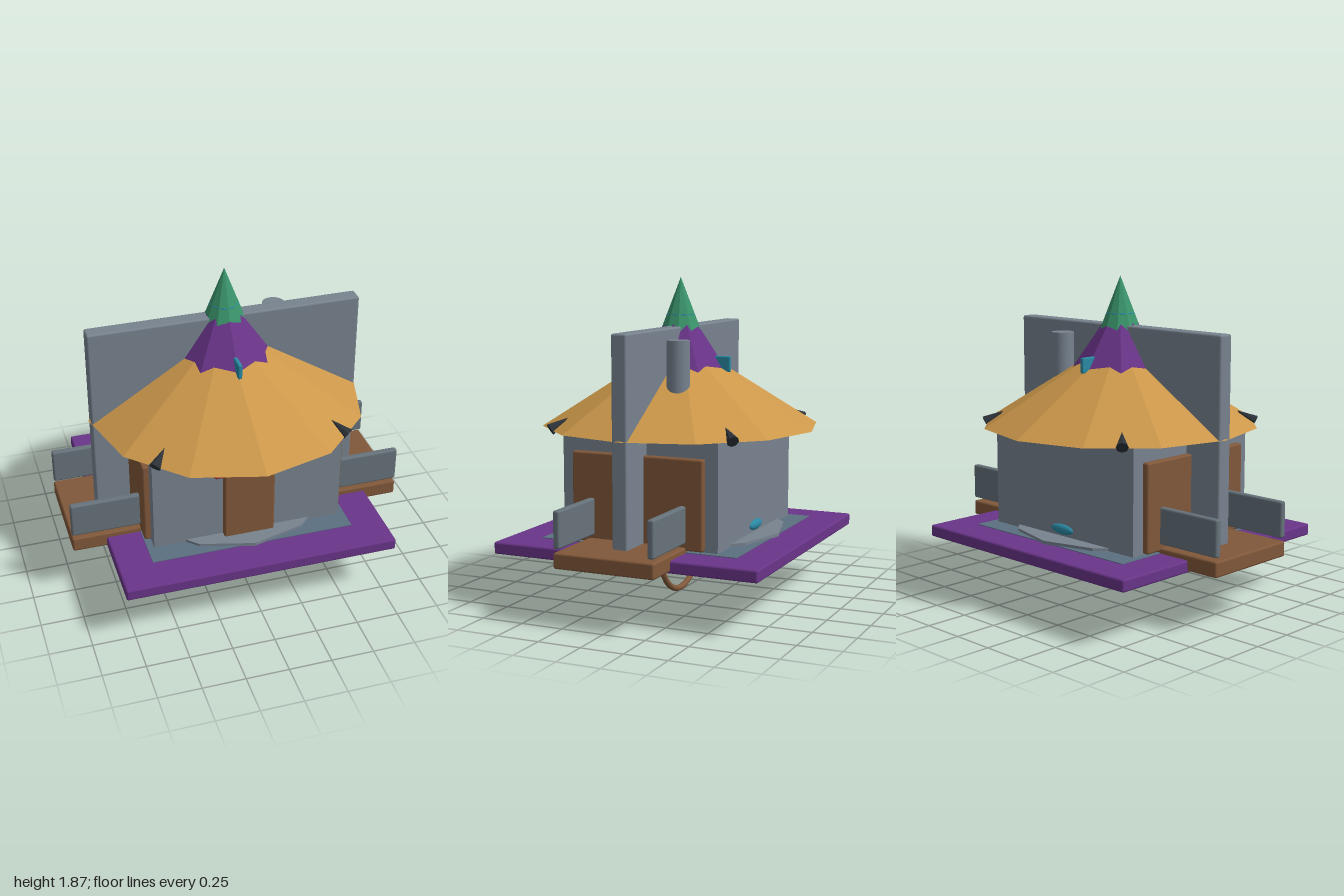
import * as THREE from 'three';
import { RoundedBoxGeometry } from 'three/addons/geometries/RoundedBoxGeometry.js';

const COLORS = {
  slate: 0x78838f, panel: 0x66727a, purple: 0x693488, brown: 0x81583a, straw: 0xcb974a,
  green: 0x3a946a, teal: 0x2a8aa4, red: 0x9c353f, dark: 0x2c3238, ground: 0x5a7080,
};
const material = (color, flat = false) =>
  new THREE.MeshStandardMaterial({ color: COLORS[color], flatShading: flat });

export function createModel() {
  const model = new THREE.Group();
  const add = (name, geometry, color, pos, flat = false) => {
    const mesh = new THREE.Mesh(geometry, material(color, flat));
    mesh.name = name;
    mesh.position.set(...pos);
    model.add(mesh);
    return mesh;
  };
  // Rounded box given by its lower and upper limits on each axis
  const box = (name, color, [x0, x1], [y0, y1], [z0, z1]) => {
    const size = [x1 - x0, y1 - y0, z1 - z0];
    const radius = Math.min(0.012, Math.min(...size) * 0.3);
    return add(name, new RoundedBoxGeometry(...size, 2, radius), color,
      [(x0 + x1) / 2, (y0 + y1) / 2, (z0 + z1) / 2]);
  };
  const cone = (name, color, r, y0, y1, sides) =>
    add(name, new THREE.ConeGeometry(r, y1 - y0, sides), color, [0, (y0 + y1) / 2, 0], true);

  // Platform
  box('basePlate', 'purple', [-0.8, 0.8], [0.32, 0.39], [-0.8, 0.8]);
  add('groundSlab', new THREE.BoxGeometry(1.2, 0.075, 1.2), 'ground', [0, 0.3565, 0]);
  add('undersideStrip', new THREE.BoxGeometry(1.2, 0.02, 0.6), 'brown', [0, 0.328, 0]);
  add('terrace', new THREE.CylinderGeometry(0.62, 0.62, 0.02, 12), 'slate', [0, 0.4, 0], true);
  box('walkway', 'brown', [-1, 1], [0.33, 0.42], [-0.3, 0.3]);

  // House body, tall dividing wall and doors
  add('houseWalls', new THREE.BoxGeometry(1.12, 0.62, 0.95), 'slate', [0, 0.7, 0]);
  box('dividingWall', 'slate', [-0.8, 0.8], [0.39, 1.59], [-0.046, 0.046]);
  box('frontDoor', 'brown', [-0.15, 0.15], [0.4, 0.855], [0.44, 0.515]);
  box('awning', 'red', [-0.227, 0.227], [0.87, 1.02], [0.533, 0.577]);
  for (const s of [-1, 1]) {
    box('sideDoor', 'brown', [s * 0.575 - 0.023, s * 0.575 + 0.023], [0.4, 0.91], [-0.4, 0.4]);
    box('railing', 'panel', [-1, 1], [0.44, 0.65], [s * 0.28 - 0.02, s * 0.28 + 0.02]);
    box('roofFin', 'teal', [-0.012, 0.012], [1.33, 1.42], [s * 0.26 - 0.055, s * 0.26 + 0.055]);
  }

  // Oval ornament on the back wall
  const oval = add('backOrnament', new THREE.SphereGeometry(1, 20, 12), 'teal', [0, 0.45, -0.475]);
  oval.scale.set(0.09, 0.03, 0.022);

  // Tiered roof
  cone('thatchRoof', 'straw', 0.81, 1.01, 1.52, 12);
  cone('middleRoof', 'purple', 0.305, 1.3, 1.748, 8);
  cone('spire', 'green', 0.14, 1.51, 1.87, 10);
  const band = add('spireBand', new THREE.TorusGeometry(0.078, 0.005, 6, 24), 'teal', [0, 1.655, 0]);
  band.rotation.x = Math.PI / 2;
  add('chimney', new THREE.CylinderGeometry(0.066, 0.066, 0.32, 24), 'slate', [0.34, 1.37, -0.14]);

  // Spikes lying along the roof slope at the four corners
  for (const sx of [-1, 1]) for (const sz of [-1, 1]) {
    const tip = new THREE.Vector3(sx * 0.485, 1.08, sz * 0.485);
    const foot = new THREE.Vector3(sx * 0.56, 1.015, sz * 0.56);
    const axis = tip.clone().sub(foot);
    const spike = add('cornerSpike', new THREE.ConeGeometry(0.035, axis.length(), 8), 'dark',
      tip.add(foot).multiplyScalar(0.5).toArray(), true);
    spike.quaternion.setFromUnitVectors(new THREE.Vector3(0, 1, 0), axis.normalize());
  }

  // Hanging hoop below the platform
  const hoop = add('hoop', new THREE.TorusGeometry(0.29, 0.018, 10, 16, Math.PI), 'brown', [0, 0.312, 0]);
  hoop.rotation.z = Math.PI;
  box('hoopBracket', 'straw', [0.285, 0.335], [0.235, 0.325], [-0.02, 0.02]);
  box('hangingPlank', 'brown', [-0.17, -0.055], [0.115, 0.325], [-0.02, 0.02]);

  // Lamp with its mounting ring
  const ring = add('lampRing', new THREE.TorusGeometry(0.12, 0.016, 10, 32), 'straw', [0, 0.31, 0]);
  ring.rotation.x = Math.PI / 2;
  add('lampMount', new THREE.CylinderGeometry(0.1, 0.1, 0.03, 24), 'brown', [0, 0.31, 0]);
  add('lampShade', new THREE.CylinderGeometry(0.042, 0.082, 0.08, 12), 'slate', [0, 0.258, 0], true);
  add('lampGlobe', new THREE.SphereGeometry(0.06, 20, 14), 'teal', [0, 0.185, 0]);
  add('lampCap', new THREE.CylinderGeometry(0.04, 0.032, 0.03, 8), 'slate', [0, 0.13, 0], true);

  return model;
}
